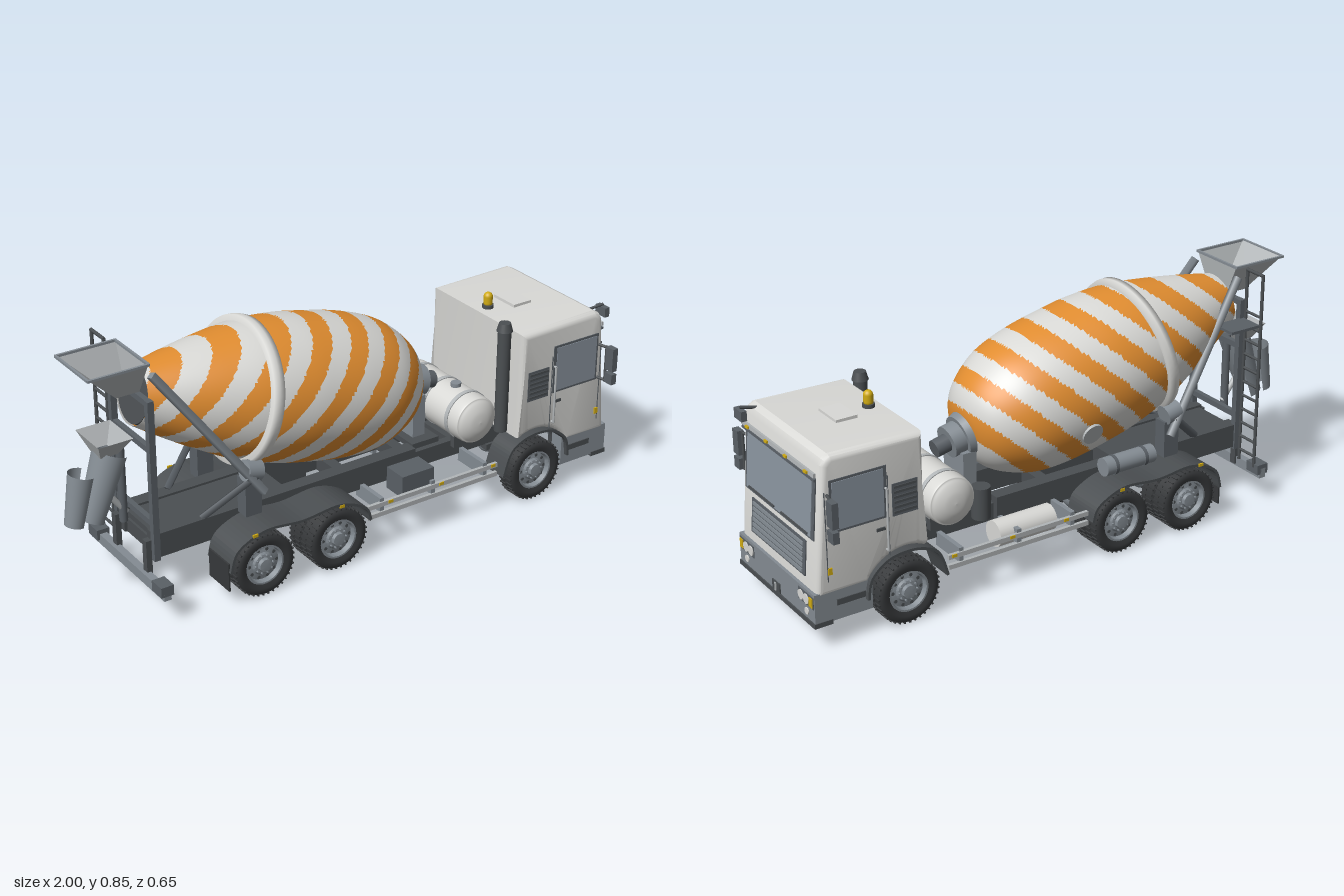
import * as THREE from 'three';
import { mergeGeometries, toCreasedNormals } from 'three/addons/utils/BufferGeometryUtils.js';

const mat = (name, color) => Object.assign(new THREE.MeshStandardMaterial({ color }), { name, side: THREE.DoubleSide });
const white = mat('white paint', 0xd9d9d6), orange = mat('orange paint', 0xe18d30), frame = mat('chassis grey', 0x4b4f52),
  rubber = mat('rubber', 0x37393b), steel = mat('blue grey steel', 0x848c93), glass = mat('glass', 0x8a949f),
  yellow = mat('amber', 0xd2ac14), trim = mat('dark trim', 0x5a6066), silver = mat('silver', 0xb2b6b8);
const V = (x, y, z) => new THREE.Vector3(x, y, z);
const P = pts => pts.map(p => new THREE.Vector2(...p));

export function createModel() {
  const model = new THREE.Group();
  const add = (name, geo, m, x = 0, y = 0, z = 0, rz = 0) => {
    const mesh = new THREE.Mesh(geo, m);
    mesh.name = name;
    mesh.position.set(x, y, z);
    mesh.rotation.z = rz;
    model.add(mesh);
    return mesh;
  };
  const box = (name, m, x, y, z, w, h, d, rz = 0) => add(name, new THREE.BoxGeometry(w, h, d), m, x, y, z, rz);
  // cylinder between two points
  const rod = (name, m, a, b, r, r2 = r, seg = 20) => {
    const mesh = add(name, new THREE.CylinderGeometry(r2, r, a.distanceTo(b), seg), m);
    mesh.position.copy(a).lerp(b, 0.5);
    mesh.quaternion.setFromUnitVectors(V(0, 1, 0), b.clone().sub(a).normalize());
    return mesh;
  };
  // flat-sided frustum funnel, open at the top
  const funnel = (name, m, x, y, top, bottom, h, dx) => {
    const g = new THREE.CylinderGeometry(Math.SQRT1_2, Math.SQRT1_2, 1, 4, 1, true).rotateY(Math.PI / 4).toNonIndexed();
    const p = g.attributes.position;
    for (let i = 0; i < p.count; i++) {
      const up = p.getY(i) > 0, s = up ? top : bottom;
      p.setXYZ(i, p.getX(i) * s[0] + (up ? 0 : dx), up ? 0 : -h, p.getZ(i) * s[1]);
    }
    g.computeVertexNormals();
    add(name, g, m, x, y, 0);
  };

  // Drum: a tilted lathe whose triangles are sorted into diagonal stripes
  const tilt = THREE.MathUtils.degToRad(77), A = V(0.30, 0.455, 0);
  const axis = t => V(A.x - t * Math.sin(tilt), A.y + t * Math.cos(tilt), 0);
  const profile = new THREE.SplineCurve(P([[0.02, 0], [0.09, 0.012], [0.15, 0.05], [0.198, 0.12], [0.229, 0.2], [0.245, 0.32],
    [0.247, 0.46], [0.243, 0.56], [0.224, 0.695], [0.188, 0.82], [0.147, 0.94], [0.095, 1.075]]));
  const drum = new THREE.LatheGeometry(profile.getSpacedPoints(130), 128).rotateZ(tilt).translate(A.x, A.y, 0);
  const pos = drum.attributes.position, idx = drum.index.array, bands = [[], []];
  for (let i = 0; i < idx.length; i += 3) {
    let s = 0;
    for (let k = 0; k < 3; k++) s += (pos.getX(idx[i + k]) - (pos.getY(idx[i + k]) - 0.5) / 0.9) / 3;
    const f = (s + 0.25) / 0.181;
    bands[Math.abs(f - Math.round(f)) < 0.25 ? 1 : 0].push(idx[i], idx[i + 1], idx[i + 2]);
  }
  drum.setIndex(bands.flat());
  drum.addGroup(0, bands[0].length, 0);
  drum.addGroup(bands[0].length, bands[1].length, 1);
  add('mixerDrum', drum, [white, orange]);
  rod('drumOpening', frame, axis(1.06), axis(1.072), 0.093, 0.09, 40);
  const ringPos = axis(0.69);
  add('drumRing', new THREE.LatheGeometry(P([[0.2, -0.02], [0.241, -0.02], [0.244, 0], [0.241, 0.02], [0.2, 0.02]]), 64), white, ringPos.x, ringPos.y, 0, tilt);
  const hatch = V(0, -0.33, -0.944), hp = axis(0.36);
  rod('drumHatch', silver, hp.clone().addScaledVector(hatch, 0.23), hp.clone().addScaledVector(hatch, 0.254), 0.038);

  // Drum drive and stand
  rod('drumFlange', steel, axis(0.04), axis(-0.015), 0.085, 0.07, 32);
  rod('gearbox', steel, axis(-0.01), axis(-0.06), 0.055, 0.055, 32);
  rod('driveMotor', trim, axis(-0.05), axis(-0.11), 0.03);
  box('driveStand', steel, 0.31, 0.33, 0, 0.05, 0.17, 0.12);
  box('driveStandFoot', frame, 0.31, 0.255, 0, 0.11, 0.02, 0.2);

  // Chassis
  for (const s of [1, -1]) {
    box('chassisRail', frame, 0.08, 0.205, s * 0.09, 1.67, 0.06, 0.03);
    box('subframeRail', frame, -0.255, 0.22, s * 0.1, 1.01, 0.085, 0.05);
  }
  box('rearDeck', frame, -0.5, 0.245, 0, 0.5, 0.02, 0.22);
  for (const x of [-0.73, -0.3, 0, 0.25, 0.45, 0.85]) box('crossMember', frame, x, 0.2, 0, 0.04, 0.05, 0.2);
  rod('driveShaft', trim, V(-0.44, 0.13, 0), V(0.55, 0.19, 0), 0.016);
  box('engine', trim, 0.72, 0.2, 0, 0.3, 0.1, 0.16);

  // Wheels
  const tyre = new THREE.LatheGeometry(P([[0.066, -0.026], [0.085, -0.033], [0.1, -0.032], [0.107, -0.027], [0.107, 0.027], [0.1, 0.032], [0.085, 0.033], [0.066, 0.026]]), 48);
  const lugs = [];
  for (let i = 0; i < 72; i++) {
    const g = new THREE.BoxGeometry(0.006, 0.028, 0.0055);
    g.translate(0.108, (i % 2 ? 1 : -1) * 0.016, 0).rotateY(i / 72 * Math.PI * 2);
    lugs.push(g);
  }
  const tyreGeo = mergeGeometries([toCreasedNormals(tyre, 0.7), ...lugs.map(g => g.toNonIndexed())]).rotateX(Math.PI / 2);
  const rim = toCreasedNormals(new THREE.LatheGeometry(P([[0.068, -0.026], [0.07, 0.028], [0.064, 0.028], [0.06, 0.01], [0.04, 0.014], [0.034, 0.02], [0.024, 0.022], [0.022, 0.034], [0, 0.036]]), 40), 0.5);
  const bolts = [], holes = [];
  for (let i = 0; i < 10; i++) {
    const a = i / 10 * Math.PI * 2;
    bolts.push(new THREE.CylinderGeometry(0.0035, 0.0035, 0.012, 6).translate(0.032, 0.022, 0).rotateY(a));
    holes.push(new THREE.CylinderGeometry(0.006, 0.006, 0.004, 10).translate(0.051, 0.0125, 0).rotateY(a));
  }
  const rimGeo = mergeGeometries([rim, ...bolts.map(g => g.toNonIndexed())]), holeGeo = mergeGeometries(holes);
  for (const x of [0.666, -0.157, -0.44]) {
    for (const s of [1, -1]) {
      add('tyre', tyreGeo, rubber, x, 0.112, s * 0.232);
      for (const [name, g, m] of [['rim', rimGeo, steel], ['rimHoles', holeGeo, frame]]) add(name, g, m, x, 0.112, s * 0.232).rotation.x = s * Math.PI / 2;
      if (x < 0) add('innerTyre', tyreGeo, rubber, x, 0.112, s * 0.164);
      rod('wheelDisc', steel, V(x, 0.112, s * 0.13), V(x, 0.112, s * 0.21), 0.064, 0.064, 32);
      box('leafSpring', frame, x, 0.165, s * 0.1, 0.2, 0.022, 0.03);
    }
    rod('axle', steel, V(x, 0.112, -0.22), V(x, 0.112, 0.22), 0.022);
    add('differential', new THREE.SphereGeometry(x < 0 ? 0.055 : 0.04, 24, 16), steel, x, 0.112, 0);
  }

  // Mudguards: curved strips extruded across the tyres
  const strip = (name, pts, z, depth) => {
    const c = new THREE.SplineCurve(P(pts)), outer = c.getPoints(40), inner = outer.map((p, i) => {
      const t = c.getTangent(i / 40);
      return new THREE.Vector2(p.x + t.y * 0.009, p.y - t.x * 0.009);
    }).reverse();
    add(name, new THREE.ExtrudeGeometry(new THREE.Shape([...outer, ...inner]), { depth, bevelEnabled: false }), frame, 0, 0, z - depth / 2);
  };
  for (const s of [1, -1]) {
    strip('rearMudguard', [[-0.575, 0.13], [-0.545, 0.205], [-0.44, 0.248], [-0.3, 0.238], [-0.157, 0.248], [-0.055, 0.205], [-0.03, 0.15]], s * 0.2, 0.14);
    strip('frontMudguard', [[0.52, 0.13], [0.55, 0.215], [0.6, 0.25], [0.666, 0.262], [0.74, 0.25], [0.8, 0.2], [0.815, 0.13]], s * 0.215, 0.1);
    box('mudFlap', rubber, -0.573, 0.11, s * 0.2, 0.006, 0.1, 0.12);
    // Side guards
    for (const y of [0.14, 0.175]) box('sideGuard', silver, 0.24, y, s * 0.24, 0.54, 0.016, 0.012);
    for (const x of [0.03, 0.24, 0.46]) {
      box('guardBracket', steel, x, 0.17, s * 0.17, 0.016, 0.05, 0.14);
      box('sideMarker', yellow, x + 0.03, 0.178, s * 0.247, 0.018, 0.01, 0.004);
    }
    for (const x of [-0.48, -0.15]) box('sideMarker', yellow, x, 0.238, s * 0.27, 0.018, 0.01, 0.006);
  }
  box('toolBox', trim, 0.185, 0.2, 0.185, 0.13, 0.08, 0.09);
  rod('fuelTank', white, V(0.08, 0.17, -0.18), V(0.3, 0.17, -0.18), 0.045, 0.045, 28);
  rod('airTank', steel, V(-0.32, 0.3, -0.2), V(-0.12, 0.3, -0.2), 0.032, 0.032, 28);
  for (const x of [-0.28, -0.16]) rod('airTankStrap', trim, V(x - 0.006, 0.3, -0.2), V(x + 0.006, 0.3, -0.2), 0.034);
  rod('filterCanister', frame, V(0.34, 0.24, -0.17), V(0.34, 0.35, -0.17), 0.032);

  // Water tank across the frame
  const tank = add('waterTank', new THREE.LatheGeometry(new THREE.SplineCurve(P([[0.001, -0.212], [0.04, -0.207], [0.074, -0.19], [0.084, -0.165],
    [0.085, 0], [0.084, 0.165], [0.074, 0.19], [0.04, 0.207], [0.001, 0.212]])).getPoints(60), 40), white, 0.457, 0.335, 0);
  tank.rotation.x = Math.PI / 2;
  for (const z of [-0.13, 0, 0.13]) rod('tankBand', silver, V(0.457, 0.335, z - 0.008), V(0.457, 0.335, z + 0.008), 0.088, 0.088, 40);
  for (const z of [-0.13, 0.13]) box('tankCradle', frame, 0.457, 0.25, z, 0.11, 0.05, 0.02);
  rod('tankCap', steel, V(0.457, 0.41, 0.07), V(0.457, 0.433, 0.07), 0.018);

  // Exhaust stack
  rod('exhaustStack', frame, V(0.562, 0.27, 0.19), V(0.562, 0.65, 0.19), 0.023, 0.023, 24);
  rod('exhaustCap', frame, V(0.562, 0.645, 0.19), V(0.562, 0.674, 0.19), 0.028, 0.02, 24);

  // Cab: side profile with a wheel arch, extruded across
  const cab = new THREE.Shape();
  cab.moveTo(0.595, 0.246);
  cab.absarc(0.666, 0.113, 0.151, 2.06, 0.47, true);
  for (const p of [[0.982, 0.18], [0.946, 0.615], [0.936, 0.634], [0.915, 0.645], [0.595, 0.638]]) cab.lineTo(...p);
  const cabGeo = new THREE.ExtrudeGeometry(cab, { depth: 0.458, bevelThickness: 0.024, bevelSize: 0.02, bevelOffset: -0.02, bevelSegments: 4, curveSegments: 24 });
  add('cab', toCreasedNormals(cabGeo, 0.5), white, 0, 0, -0.229);
  box('roofHatch', white, 0.748, 0.645, 0, 0.075, 0.012, 0.11);
  add('beaconBase', new THREE.CylinderGeometry(0.02, 0.02, 0.012, 24), frame, 0.64, 0.646, 0);
  add('beacon', new THREE.CapsuleGeometry(0.016, 0.022, 8, 24), yellow, 0.64, 0.67, 0);

  // Cab front: plates laid on the sloping face
  const lean = 0.083;
  const plate = (name, m, y, z, h, w, lift) => box(name, m, 0.982 - (y - 0.18) * lean + lift, y, z, 0.008, h, w, lean);
  plate('windscreenFrame', trim, 0.467, 0, 0.205, 0.45, 0);
  plate('windscreen', glass, 0.465, 0, 0.185, 0.42, 0.003);
  plate('sunVisor', silver, 0.584, 0, 0.014, 0.47, 0.012);
  plate('visorEdge', trim, 0.568, 0, 0.008, 0.47, 0.01);
  for (const z of [-0.19, -0.063, 0.063, 0.19]) plate('roofMarker', yellow, 0.583, z, 0.008, 0.018, 0.018);
  plate('grilleFrame', trim, 0.287, 0, 0.118, 0.355, 0);
  for (let i = 0; i < 6; i++) plate('grilleSlat', steel, 0.242 + i * 0.018, 0, 0.011, 0.33, 0.004);
  for (const z of [0.105, -0.11]) plate('wiper', frame, 0.38, z, 0.005, 0.17, 0.008);

  // Bumper and lamps
  box('bumper', steel, 0.962, 0.143, 0, 0.058, 0.105, 0.5);
  box('bumperLip', frame, 0.963, 0.089, 0, 0.064, 0.016, 0.505);
  box('towBracket', frame, 0.991, 0.115, 0, 0.008, 0.034, 0.05);
  box('towPin', silver, 0.994, 0.115, 0, 0.008, 0.028, 0.008);
  for (const s of [1, -1]) {
    box('lampPanel', trim, 0.99, 0.165, s * 0.197, 0.006, 0.042, 0.096);
    box('indicator', yellow, 0.992, 0.165, s * 0.231, 0.008, 0.032, 0.02);
    for (const z of [0.201, 0.168]) rod('headlamp', white, V(0.988, 0.165, s * z), V(0.996, 0.165, s * z), 0.017, 0.017, 24);
    rod('fogLamp', white, V(0.988, 0.122, s * 0.2), V(0.995, 0.122, s * 0.2), 0.012);

    // Cab sides
    const z = s * 0.253;
    box('cabStep', steel, 0.865, 0.145, s * 0.225, 0.15, 0.11, 0.05);
    box('stepTread', frame, 0.865, 0.15, s * 0.2505, 0.1, 0.02, 0.006);
    box('sideWindowFrame', trim, 0.828, 0.478, z, 0.196, 0.176, 0.006);
    box('sideWindow', glass, 0.83, 0.478, z + s * 0.002, 0.176, 0.16, 0.006);
    for (const x of [0.726, 0.942]) box('doorSeam', trim, x, 0.38, z, 0.003, 0.3, 0.003);
    box('doorHandle', frame, 0.755, 0.355, z + s * 0.002, 0.03, 0.01, 0.006);
    box('sideVent', trim, 0.667, 0.44, z, 0.09, 0.11, 0.004);
    for (let i = 0; i < 6; i++) box('ventSlat', frame, 0.667, 0.398 + i * 0.017, z + s * 0.003, 0.08, 0.008, 0.004);
    box('sideIndicator', yellow, 0.935, 0.265, z + s * 0.002, 0.014, 0.022, 0.006);
    rod('grabRail', silver, V(0.735, 0.28, s * 0.264), V(0.735, 0.49, s * 0.264), 0.004);
    for (const y of [0.28, 0.49]) rod('grabRailEnd', silver, V(0.735, y, s * 0.25), V(0.735, y, s * 0.266), 0.004);

    // Door mirrors
    box('mirror', trim, 0.945, 0.483, s * 0.307, 0.022, 0.085, 0.036);
    box('wideMirror', trim, 0.945, 0.41, s * 0.307, 0.022, 0.038, 0.036);
    rod('mirrorPost', frame, V(0.94, 0.39, s * 0.285), V(0.94, 0.525, s * 0.285), 0.005);
    for (const y of [0.395, 0.52]) rod('mirrorArm', frame, V(0.93, y, s * 0.24), V(0.94, y, s * 0.288), 0.005);
  }
  box('kerbMirror', trim, 0.977, 0.622, 0.21, 0.02, 0.034, 0.05);
  rod('kerbMirrorArm', frame, V(0.92, 0.635, 0.2), V(0.978, 0.645, 0.21), 0.005);

  // Rear supports, struts and rollers
  for (const s of [1, -1]) {
    box('rearPost', trim, -0.755, 0.45, s * 0.12, 0.022, 0.56, 0.022);
    rod('diagonalStrut', steel, V(-0.74, 0.81, s * 0.115), V(-0.4, 0.34, s * 0.2), 0.016, 0.016, 4);
    rod('lowerStrut', trim, V(-0.58, 0.26, s * 0.11), V(-0.42, 0.4, s * 0.19), 0.014, 0.014, 4);
    box('rollerStand', trim, -0.425, 0.315, s * 0.15, 0.06, 0.13, 0.05);
    const c = V(-0.425, 0.41, s * 0.165), d = V(-0.974, 0.225, 0).multiplyScalar(0.028);
    rod('drumRoller', steel, c.clone().sub(d), c.clone().add(d), 0.035);
    box('bumperHanger', frame, -0.775, 0.17, s * 0.1, 0.02, 0.14, 0.025);
    box('tailLamp', trim, -0.785, 0.125, s * 0.21, 0.045, 0.036, 0.06);
  }
  for (const y of [0.3, 0.56, 0.72]) box('rearCrossBar', trim, -0.755, y, 0, 0.018, 0.02, 0.25);
  box('rearUnderrunBar', steel, -0.785, 0.11, 0, 0.026, 0.036, 0.48);

  // Ladder and handrail
  for (const z of [-0.215, -0.135]) rod('ladderRail', frame, V(-0.765, 0.13, z), V(-0.765, 0.84, z), 0.006, 0.006, 10);
  for (let i = 0; i < 11; i++) rod('ladderRung', frame, V(-0.765, 0.17 + i * 0.052, -0.215), V(-0.765, 0.17 + i * 0.052, -0.135), 0.005, 0.005, 8);
  rod('handrailTop', frame, V(-0.765, 0.84, -0.218), V(-0.765, 0.84, -0.132), 0.006, 0.006, 10);
  box('ladderPlatform', trim, -0.7, 0.66, -0.17, 0.12, 0.01, 0.09);

  // Loading hopper, collector and discharge chutes
  funnel('loadingHopper', silver, -0.843, 0.845, [0.205, 0.21], [0.08, 0.1], 0.115, 0.055);
  for (const s of [1, -1]) {
    box('hopperRim', steel, -0.843, 0.841, s * 0.105, 0.21, 0.008, 0.008);
    box('hopperRimEnd', steel, -0.843 + s * 0.102, 0.841, 0, 0.008, 0.008, 0.21);
  }
  funnel('collector', silver, -0.85, 0.592, [0.12, 0.15], [0.06, 0.07], 0.06, -0.005);
  const chute = (name, a, b, r) => {
    const mesh = rod(name, steel, a, b, r);
    mesh.geometry = new THREE.CylinderGeometry(r, r * 0.75, a.distanceTo(b), 24, 1, true, Math.PI * 0.85, Math.PI * 1.3);
  };
  chute('dischargeChute', V(-0.91, 0.31, 0), V(-0.83, 0.53, 0), 0.06);
  chute('foldedChute', V(-0.97, 0.31, 0), V(-0.935, 0.48, 0), 0.045);
  rod('chutePivot', trim, V(-0.8, 0.27, 0), V(-0.8, 0.55, 0), 0.014);
  rod('chuteRam', silver, V(-0.79, 0.3, 0), V(-0.88, 0.42, 0), 0.01);
  return model;
}
